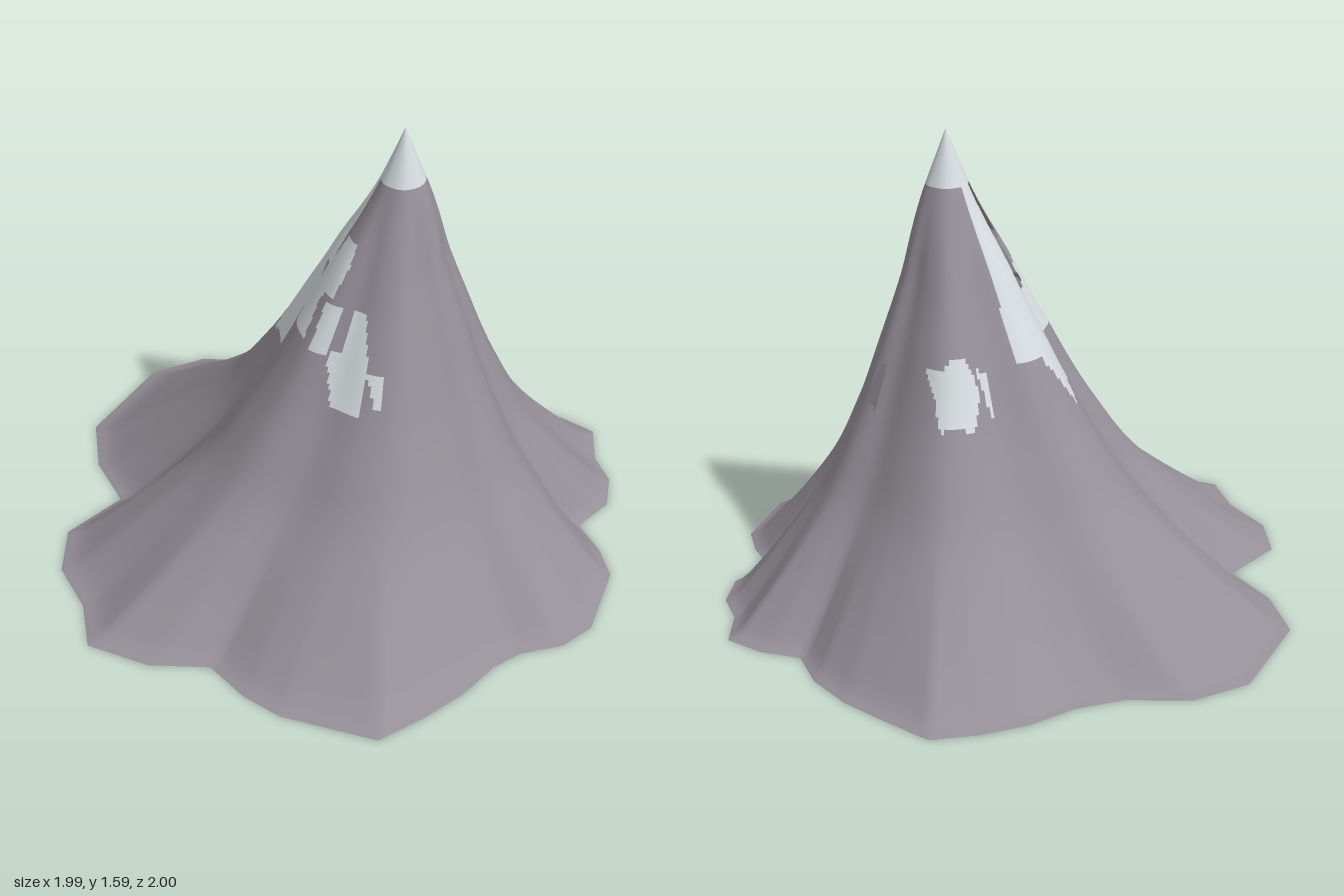
import * as THREE from 'three';

const AXIS_X = 0.2; // the summit stands off-centre
const CAP_Y = 1.41;

// Foot of the mountain, as x, z corners
const FOOT = [
  [-0.12, -1], [0.05, -0.95], [0.2, -0.9], [0.34, -0.82], [0.44, -0.71], [0.58, -0.72],
  [0.71, -0.69], [0.76, -0.55], [0.84, -0.46], [0.87, -0.33], [0.81, -0.19], [0.91, -0.1],
  [0.98, 0], [0.99, 0.26], [0.93, 0.37], [0.81, 0.46], [0.75, 0.55], [0.7, 0.69],
  [0.62, 0.83], [0.52, 0.97], [0.2, 1], [0.06, 0.97], [-0.09, 0.9], [-0.28, 0.97],
  [-0.5, 0.97], [-0.6, 0.82], [-0.75, 0.7], [-0.82, 0.53], [-0.73, 0.31], [-0.89, 0.18],
  [-1, 0], [-0.95, -0.37], [-0.81, -0.52], [-0.61, -0.59], [-0.48, -0.69], [-0.38, -0.82],
  [-0.26, -0.92],
];

// Slope profile: share of the foot's radius, height
const PROFILE = [
  [1, 0], [0.925, 0.04], [0.755, 0.2], [0.575, 0.4], [0.45, 0.6], [0.37, 0.75],
  [0.3, 0.9], [0.23, 1.05], [0.165, 1.2], [0.073, CAP_Y], [0, 1.59],
];

// Snow patches and openings outlined from above (x, z)
const SNOW_TOP = [
  [[0.14, -0.03], [-0.1, -0.155], [-0.14, -0.12], [-0.15, -0.08], [-0.25, 0], [-0.21, 0.06],
    [-0.17, 0.13], [-0.13, 0.11], [-0.07, 0.09], [-0.035, 0.037], [0.135, 0.005]],
  [[-0.02, -0.33], [0.08, -0.38], [0.11, -0.34], [0.16, -0.29], [0.11, -0.3], [0.05, -0.25], [-0.01, -0.26]],
  [[-0.06, -0.27], [-0.01, -0.25], [0.01, -0.24], [-0.02, -0.22]],
];
const HOLES_TOP = [
  [[-0.035, 0.037], [0.14, 0.003], [0.135, 0.03], [0.05, 0.08], [0.055, 0.05], [-0.02, 0.11]],
  [[0.35, -0.28], [0.39, -0.25], [0.36, -0.21], [0.32, -0.23]],
];
// Snow patches on the front slope, outlined from the front (x, y)
const SNOW_FRONT = [
  [[0.06, 1.22], [0.1, 1.21], [0.09, 1.15], [0.05, 1.05], [0, 1.04], [-0.03, 0.9], [-0.1, 0.9], [-0.03, 1.06]],
  [[0.03, 1.04], [0.09, 1.04], [0.06, 0.89], [0, 0.89]],
  [[0.13, 1.04], [0.17, 1.04], [0.21, 0.87], [0.2, 0.73], [0.1, 0.735], [0.06, 0.89], [0.11, 0.9]],
  [[0.21, 0.87], [0.26, 0.87], [0.265, 0.72]],
];

function inside(poly, x, y) {
  let hit = false;
  poly.forEach(([ax, ay], i) => {
    const [bx, by] = poly[(i + 1) % poly.length];
    if ((ay > y) !== (by > y) && x < ax + ((y - ay) / (by - ay)) * (bx - ax)) hit = !hit;
  });
  return hit;
}

// Foot outline in fine steps, measured from the summit axis
function footRing(steps) {
  const ring = [];
  FOOT.forEach(([x, z], i) => {
    const [nx, nz] = FOOT[(i + 1) % FOOT.length];
    for (let s = 0; s < steps; s++) {
      const t = s / steps;
      ring.push(new THREE.Vector2(x + (nx - x) * t - AXIS_X, z + (nz - z) * t));
    }
  });
  return ring;
}

// Rounded copy of a ring by a running average
function soften(ring, reach) {
  const n = ring.length;
  return ring.map((_, i) => {
    const sum = new THREE.Vector2();
    for (let k = -reach; k <= reach; k++) sum.add(ring[(i + k + n) % n]);
    return sum.divideScalar(2 * reach + 1);
  });
}

export function createModel() {
  const rockMat = new THREE.MeshStandardMaterial({ color: 0x958f97, side: THREE.DoubleSide });
  rockMat.name = 'rock grey';
  const snowMat = new THREE.MeshStandardMaterial({ color: 0xd5dbde, side: THREE.DoubleSide });
  snowMat.name = 'snow white';

  const foot = footRing(6);
  const folds = soften(soften(foot, 5), 4);
  const n = foot.length;
  const perSpan = 9;
  const rows = (PROFILE.length - 1) * perSpan;
  const capRow = rows - perSpan;
  const slope = new THREE.SplineCurve(PROFILE.map(([r, y]) => new THREE.Vector2(r, y)));

  // Rings from foot to summit: jagged below, soft folds above, round at the peak
  const pos = [];
  for (let r = 0; r <= rows; r++) {
    const p = slope.getPoint(r / rows);
    const soft = THREE.MathUtils.smoothstep(p.y, 0, 0.5);
    const round = 0.85 * THREE.MathUtils.smoothstep(p.y, 1.1, 1.45);
    for (let c = 0; c < n; c++) {
      const v = foot[c].clone().lerp(folds[c], soft);
      v.lerp(v.clone().setLength(0.97), round).multiplyScalar(p.x);
      pos.push(AXIS_X + v.x, p.y, v.y);
    }
  }

  // Sort each cell into rock, snow, cap or opening
  const faces = { rock: [], snow: [], cap: [] };
  const all = [];
  for (let r = 0; r < rows; r++) {
    for (let c = 0; c < n; c++) {
      const a = r * n + c, b = r * n + ((c + 1) % n), d = a + n, e = b + n;
      const [x, y, z] = [0, 1, 2].map((k) => (pos[a * 3 + k] + pos[b * 3 + k] + pos[d * 3 + k] + pos[e * 3 + k]) / 4);
      const cell = [a, d, b, b, d, e];
      all.push(...cell);
      if (r >= capRow) faces.cap.push(...cell);
      else if (HOLES_TOP.some((q) => inside(q, x, z))) continue;
      else if (SNOW_TOP.some((q) => inside(q, x, z)) || (z > 0 && SNOW_FRONT.some((q) => inside(q, x, y)))) faces.snow.push(...cell);
      else faces.rock.push(...cell);
    }
  }

  // Shared smooth normals across all parts
  const base = new THREE.BufferGeometry();
  base.setAttribute('position', new THREE.Float32BufferAttribute(pos, 3));
  base.setIndex(all);
  base.computeVertexNormals();

  const group = new THREE.Group();
  group.name = 'mountain';
  const addPart = (name, index, material) => {
    const geo = new THREE.BufferGeometry();
    geo.setAttribute('position', base.getAttribute('position'));
    geo.setAttribute('normal', base.getAttribute('normal'));
    geo.setIndex(index);
    const mesh = new THREE.Mesh(geo, material);
    mesh.name = name;
    group.add(mesh);
  };
  addPart('rockSlopes', faces.rock, rockMat);
  addPart('snowPatches', faces.snow, snowMat);
  addPart('snowCap', faces.cap, snowMat);
  return group;
}
